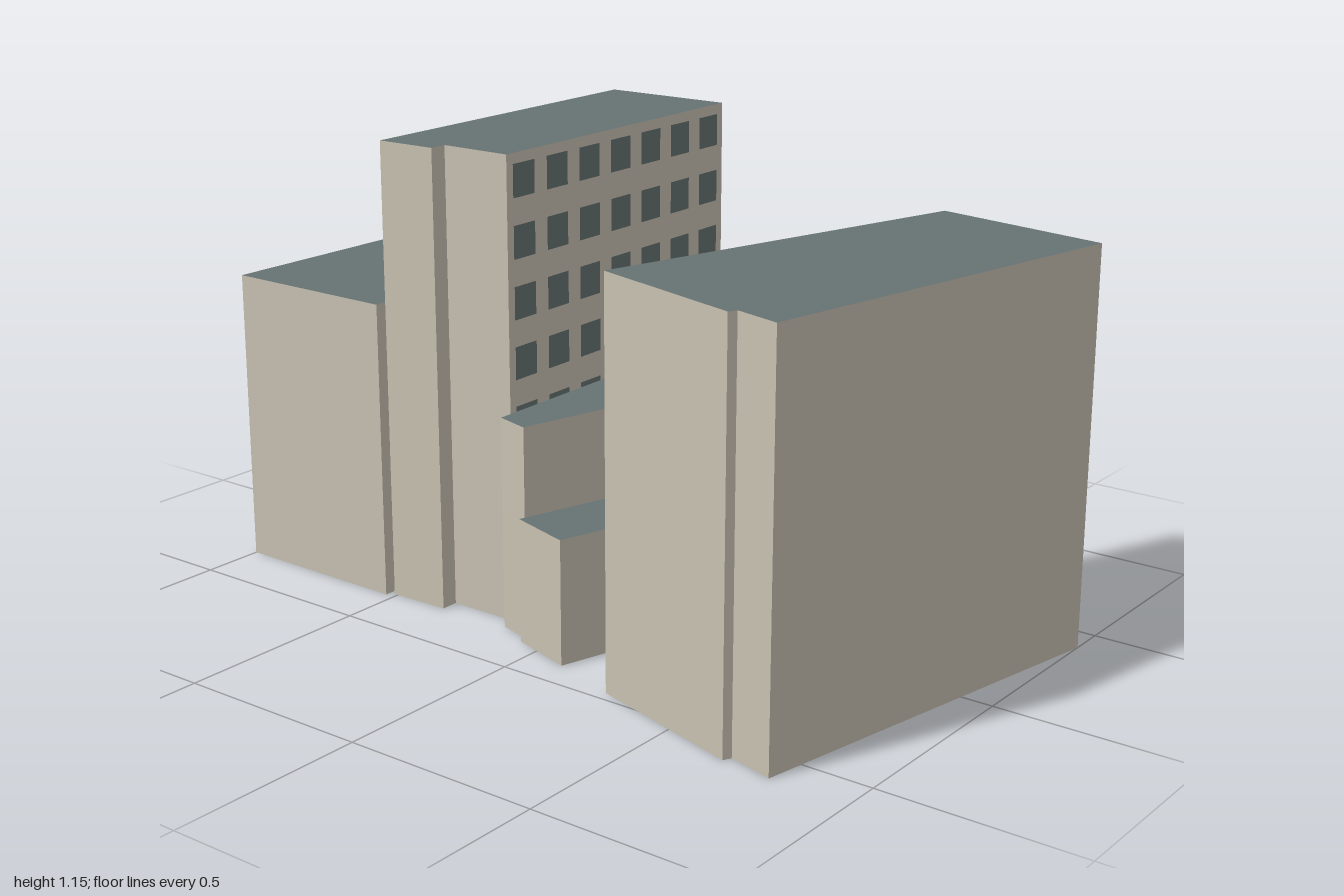
import * as THREE from 'three';
import { mergeGeometries } from 'three/addons/utils/BufferGeometryUtils.js';

// Footprints as [x, z], running back-left, back-right, front.
// windows: edge index -> [columns, start, end] along that edge.
const BUILDINGS = [
  { name: 'leftCornerBlock', height: 0.75, rows: 5,
    plan: [[-0.99, -0.58], [-0.71, -0.575], [-0.72, 0.06], [-0.52, 0.065], [-0.525, 0.345], [-1, 0.34]],
    windows: { 0: [2, 0, 1], 5: [5, 0.23, 1] } },
  { name: 'leftInfill', height: 0.53, rows: 3,
    plan: [[-0.685, -0.59], [-0.535, -0.59], [-0.535, 0.035], [-0.685, 0.035]],
    windows: { 0: [1, 0, 1], 3: [5, 0, 1] } },
  { name: 'tallTower', height: 1.15, rows: 8,
    plan: [[-0.525, -0.585], [-0.175, -0.59], [-0.16, 0.28], [-0.35, 0.28], [-0.35, 0.325], [-0.51, 0.33]],
    windows: { 0: [3, 0, 1], 1: [7, 0, 1] } },
  { name: 'narrowWing', height: 0.53, rows: 3,
    plan: [[-0.17, -0.585], [-0.015, -0.58], [-0.005, -0.03], [0.03, -0.02], [-0.065, 0.345], [-0.155, 0.32]],
    windows: { 0: [1, 0, 1] } },
  { name: 'chamferedBlock', height: 0.67, rows: 4,
    plan: [[0, -0.6], [0.31, -0.605], [0.375, -0.53], [0.24, -0.065], [0.01, -0.06]],
    windows: { 0: [2, 0, 1], 1: [1, 0, 1] } },
  { name: 'lowAnnex', height: 0.31, rows: 2,
    plan: [[0.055, -0.03], [0.22, 0.02], [0.1, 0.415], [-0.065, 0.365]],
    windows: {} },
  { name: 'rightSlab', height: 0.98, rows: 7,
    plan: [[0.55, -0.49], [1, -0.41], [0.805, 0.595], [0.69, 0.565], [0.68, 0.585], [0.275, 0.47]],
    windows: { 0: [4, 0, 1], 5: [1, 0.88, 1] } },
];

function rectPath(x, y, w, h, Type) {
  const p = new Type();
  p.moveTo(x, y);
  p.lineTo(x + w, y);
  p.lineTo(x + w, y + h);
  p.lineTo(x, y + h);
  p.closePath();
  return p;
}

// One wall with window openings, plus the panes that fill them
function buildWall(a, b, height, rows, spec) {
  const dx = a[0] - b[0], dz = a[1] - b[1];
  const length = Math.hypot(dx, dz);
  const wall = rectPath(0, 0, length, height, THREE.Shape);
  const panes = [];
  if (spec) {
    const [cols, start, end] = spec;
    const pitch = length * (end - start) / cols;
    const w = pitch * 0.63, h = 0.56 * height / rows;
    const rise = (height - 0.048 - h) / (rows - 1);
    for (let r = 0; r < rows; r++) {
      for (let c = 0; c < cols; c++) {
        const x = length * (1 - end) + pitch * (c + 0.5) - w / 2;
        const y = 0.022 + r * rise;
        wall.holes.push(rectPath(x, y, w, h, THREE.Path));
        panes.push(new THREE.ShapeGeometry(rectPath(x, y, w, h, THREE.Shape)));
      }
    }
  }
  const place = (g) => g.rotateY(Math.atan2(-dz, dx)).translate(b[0], 0, b[1]);
  return { wall: place(new THREE.ShapeGeometry(wall)), panes: panes.map(place) };
}

export function createModel() {
  const stone = new THREE.MeshStandardMaterial({ color: 0xc8c1b2, side: THREE.DoubleSide });
  stone.name = 'stone wall';
  const slate = new THREE.MeshStandardMaterial({ color: 0x667272, side: THREE.DoubleSide });
  slate.name = 'slate roof and glass';

  const model = new THREE.Group();
  model.name = 'cityBlock';
  for (const { name, height, rows, plan, windows } of BUILDINGS) {
    const building = new THREE.Group();
    building.name = name;
    const add = (geometry, material, part) => {
      const mesh = new THREE.Mesh(geometry, material);
      mesh.name = part;
      building.add(mesh);
    };

    // Walls and windows, open at the base
    const walls = [], panes = [];
    plan.forEach((a, i) => {
      const side = buildWall(a, plan[(i + 1) % plan.length], height, rows, windows[i]);
      walls.push(side.wall);
      panes.push(...side.panes);
    });
    add(mergeGeometries(walls), stone, 'walls');
    if (panes.length) add(mergeGeometries(panes), slate, 'windows');

    // Flat roof
    const outline = new THREE.Shape(plan.map(([x, z]) => new THREE.Vector2(x, -z)));
    add(new THREE.ShapeGeometry(outline).rotateX(-Math.PI / 2).translate(0, height, 0), slate, 'roof');
    model.add(building);
  }
  return model;
}
